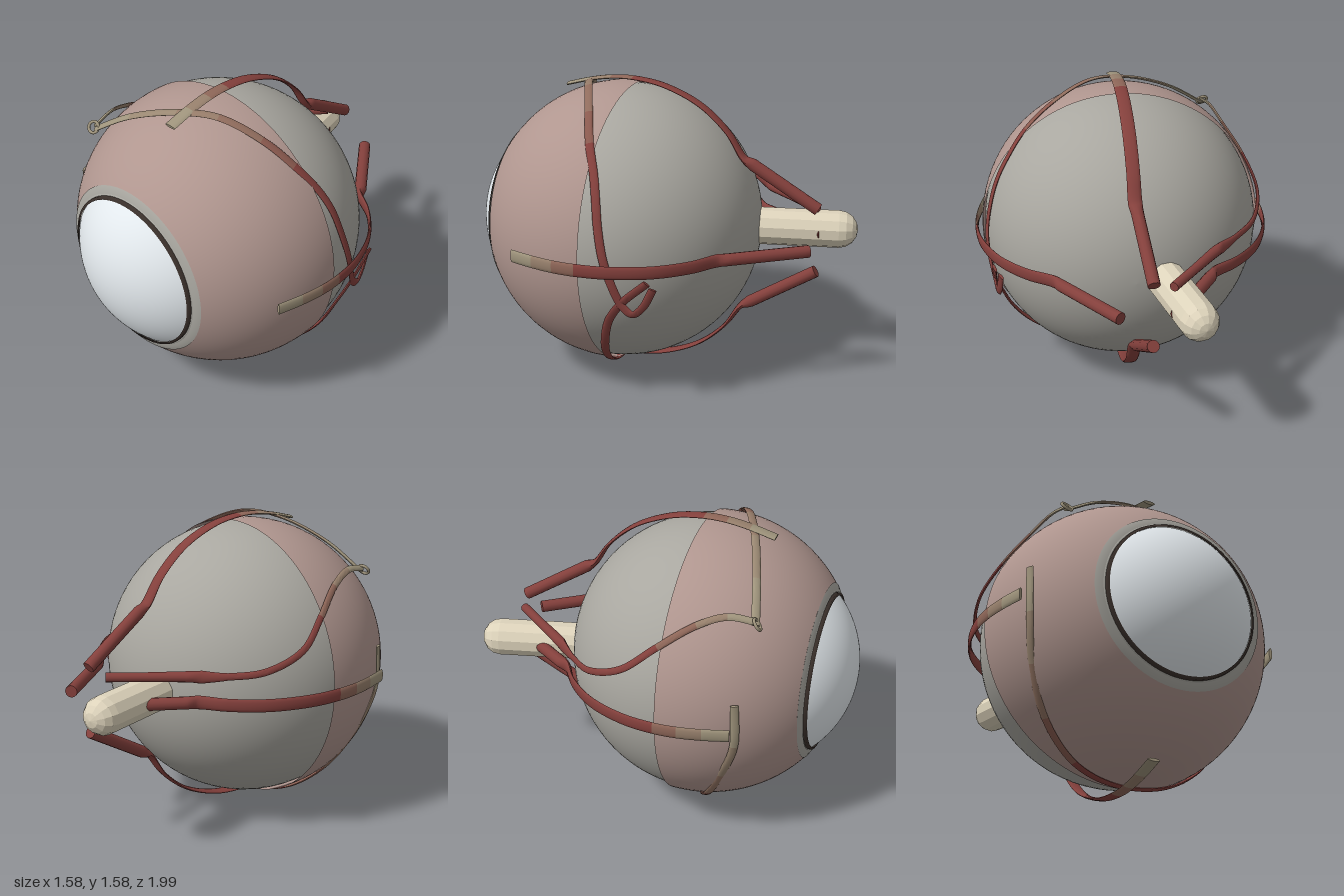
import * as THREE from 'three';
import { toCreasedNormals } from 'three/addons/utils/BufferGeometryUtils.js';

const CENTRE = new THREE.Vector3(0, 0.79, 0.21);
const TAN = new THREE.Color(0x9f947c), RED = new THREE.Color(0x84403c);
const SIDES = 12;

function part(name, geometry, color, options = {}) {
  const mesh = new THREE.Mesh(geometry, new THREE.MeshStandardMaterial({ color, ...options }));
  mesh.name = name;
  return mesh;
}

// Surface of revolution about the z axis through the eye; points are [radius, z from back to front]
function revolve(points) {
  const g = new THREE.LatheGeometry(points.map(([r, z]) => new THREE.Vector2(r, z)), 96);
  return g.rotateX(Math.PI / 2).translate(0, CENTRE.y, 0);
}

// Points on a sphere of radius r about z = c, between two z values
function arc(r, c, z0, z1, n = 40) {
  const a0 = Math.acos(Math.max(-1, (z0 - c) / r)), a1 = Math.acos(Math.min(1, (z1 - c) / r));
  return Array.from({ length: n + 1 }, (_, i) => {
    const a = a0 + (a1 - a0) * i / n;
    return [Math.max(0, r * Math.sin(a)), c + r * Math.cos(a)];
  });
}

// Elliptical sweep lying flat on the eye; rows are [x, y, z, half width, half thickness]
function sweep(rows, from, to) {
  const curve = new THREE.CatmullRomCurve3(rows.map(r => new THREE.Vector3(r[0], r[1], r[2])));
  const last = rows.length - 1, steps = (to - from) * 8;
  const pos = [], index = [];
  for (let i = 0; i <= steps; i++) {
    const k = from + (to - from) * i / steps;
    const lo = Math.min(Math.floor(k), last - 1), f = k - lo;
    const hw = THREE.MathUtils.lerp(rows[lo][3], rows[lo + 1][3], f);
    const ht = THREE.MathUtils.lerp(rows[lo][4], rows[lo + 1][4], f);
    const p = curve.getPoint(k / last), t = curve.getTangent(k / last);
    const n = p.clone().sub(CENTRE);
    n.addScaledVector(t, -n.dot(t)).normalize();
    const s = t.clone().cross(n);
    for (let j = 0; j < SIDES; j++) {
      const a = j / SIDES * Math.PI * 2;
      const v = p.clone().addScaledVector(n, ht * Math.cos(a)).addScaledVector(s, hw * Math.sin(a));
      pos.push(v.x, v.y, v.z);
    }
  }
  for (let i = 0; i < steps; i++) {
    for (let j = 0; j < SIDES; j++) {
      const a = i * SIDES + j, b = i * SIDES + (j + 1) % SIDES;
      index.push(a, b, a + SIDES, b, b + SIDES, a + SIDES);
    }
  }
  // End caps, only at the true ends
  const e = steps * SIDES;
  for (let j = 1; j < SIDES - 1; j++) {
    if (from === 0) index.push(0, j + 1, j);
    if (to === last) index.push(e, e + j, e + j + 1);
  }
  const g = new THREE.BufferGeometry();
  g.setAttribute('position', new THREE.Float32BufferAttribute(pos, 3));
  g.setIndex(index);
  return toCreasedNormals(g, 0.8);
}

// Muscle that fades from tendon to flesh over its first intervals
function muscle(name, rows, fade) {
  const group = new THREE.Group();
  group.name = name;
  for (let k = 0; k < fade; k++) {
    group.add(part('tendon', sweep(rows, k, k + 1), TAN.clone().lerp(RED, k / fade)));
  }
  group.add(part('belly', sweep(rows, fade, rows.length - 1), RED));
  return group;
}

// Straight muscle: [distance from axis, z] along the strap, then a round belly to the apex
function rectus(name, place, apexOut, apexSide) {
  const strap = [[0.72, 0.54], [0.755, 0.41], [0.776, 0.29], [0.78, 0.17], [0.755, 0], [0.67, -0.2], [0.54, -0.35]];
  const rows = strap.map(([d, z]) => [...place(d, 0), z, 0.034, 0.009]);
  const [d0, z0] = [0.41, -0.44];
  rows.push([...place(d0, 0), z0, 0.036, 0.016]);
  for (const f of [0.12, 0.5, 1]) {
    rows.push([...place(d0 + (apexOut - d0) * f, apexSide * f), z0 + (-0.83 - z0) * f, 0.032, 0.032]);
  }
  return muscle(name, rows, 3);
}

// Append one shared half width and thickness to a list of path points
const flat = (points, hw = 0.022, ht = 0.008) => points.map(p => [...p, hw, ht]);

export function createModel() {
  const model = new THREE.Group();
  const cy = CENTRE.y;

  // Eyeball
  model.add(part('sclera', revolve(arc(0.735, 0.22, -0.515, 0.825)), 0xa9a7a0, { side: THREE.DoubleSide }));
  model.add(part('conjunctiva', revolve(arc(0.75, 0.21, 0.165, 0.805)), 0xb0968f, { side: THREE.DoubleSide }));
  model.add(part('scleraFront', revolve([[0.46, 0.806], [0.435, 0.82], [0.405, 0.825]]), 0xa9a7a0, { side: THREE.DoubleSide }));
  model.add(part('limbusRing', revolve([[0.412, 0.82], [0.412, 0.838], [0.398, 0.842]]), 0x3a302b, { side: THREE.DoubleSide }));
  model.add(part('cornea', revolve(arc(0.565, 0.435, 0.835, 1.0, 24)), 0xe3e9ed, { side: THREE.DoubleSide }));

  // Optic nerve, a faceted capsule leaning to the nasal side
  const nerve = part('opticNerve', new THREE.CapsuleGeometry(0.1, 0.46, 4, 12), 0xddd3bb, { flatShading: true });
  const base = new THREE.Vector3(-0.14, cy, -0.44), tip = new THREE.Vector3(-0.25, cy, -0.9);
  nerve.position.copy(base).lerp(tip, 0.5);
  nerve.quaternion.setFromUnitVectors(new THREE.Vector3(0, 1, 0), tip.clone().sub(base).normalize());
  model.add(nerve);

  // Four straight muscles
  model.add(rectus('superiorRectus', (d, s) => [s, cy + d], 0.17, -0.04));
  model.add(rectus('inferiorRectus', (d, s) => [s, cy - d], 0.17, -0.04));
  model.add(rectus('lateralRectus', (d, s) => [d, cy + s], 0.12, 0));
  model.add(rectus('medialRectus', (d, s) => [-d, cy + s], 0.15, 0));

  // Superior oblique: pulley ring, belly running back, tendon crossing over the eye
  const pulley = part('pulleyRing', new THREE.TorusGeometry(0.029, 0.008, 8, 24), TAN);
  pulley.position.set(-0.51, 1.305, 0.6);
  pulley.lookAt(-0.35, 1.8, 1.3);
  model.add(pulley);
  model.add(muscle('superiorObliqueBelly', [
    ...flat([[-0.505, 1.315, 0.59], [-0.53, 1.33, 0.46], [-0.575, 1.28, 0.32], [-0.655, 1.17, 0.15],
      [-0.705, 1.04, -0.02], [-0.65, 0.96, -0.21], [-0.53, 0.935, -0.35]], 0.018),
    [-0.44, 0.93, -0.44, 0.032, 0.016], [-0.4, 0.93, -0.48, 0.028, 0.028],
    [-0.27, 0.93, -0.64, 0.024, 0.024], [-0.14, 0.93, -0.8, 0.024, 0.024],
  ], 3));
  model.add(muscle('superiorObliqueTendon', flat([
    [-0.505, 1.295, 0.59], [-0.3, 1.43, 0.53], [-0.05, 1.525, 0.445], [0.15, 1.545, 0.36], [0.35, 1.465, 0.27],
    [0.5, 1.35, 0.2], [0.6, 1.225, 0.135], [0.66, 1.12, 0.1], [0.7, 1, 0.075], [0.727, 0.85, 0.04],
    [0.722, 0.72, 0], [0.7, 0.6, -0.05], [0.69, 0.56, -0.1], [0.68, 0.6, -0.15], [0.67, 0.7, -0.2],
  ]), 5));

  // Inferior oblique, slung beneath the eye from the nasal to the temporal side
  model.add(muscle('inferiorOblique', flat([
    [-0.68, 0.94, 0.55], [-0.675, 0.7, 0.55], [-0.62, 0.47, 0.47], [-0.5, 0.25, 0.37], [-0.3, 0.09, 0.28],
    [-0.05, 0.035, 0.22], [0.25, 0.075, 0.18], [0.48, 0.205, 0.13], [0.6, 0.34, 0.09],
    [0.67, 0.5, 0.035], [0.7, 0.62, -0.05], [0.7, 0.74, -0.18],
  ]), 4));

  return model;
}
